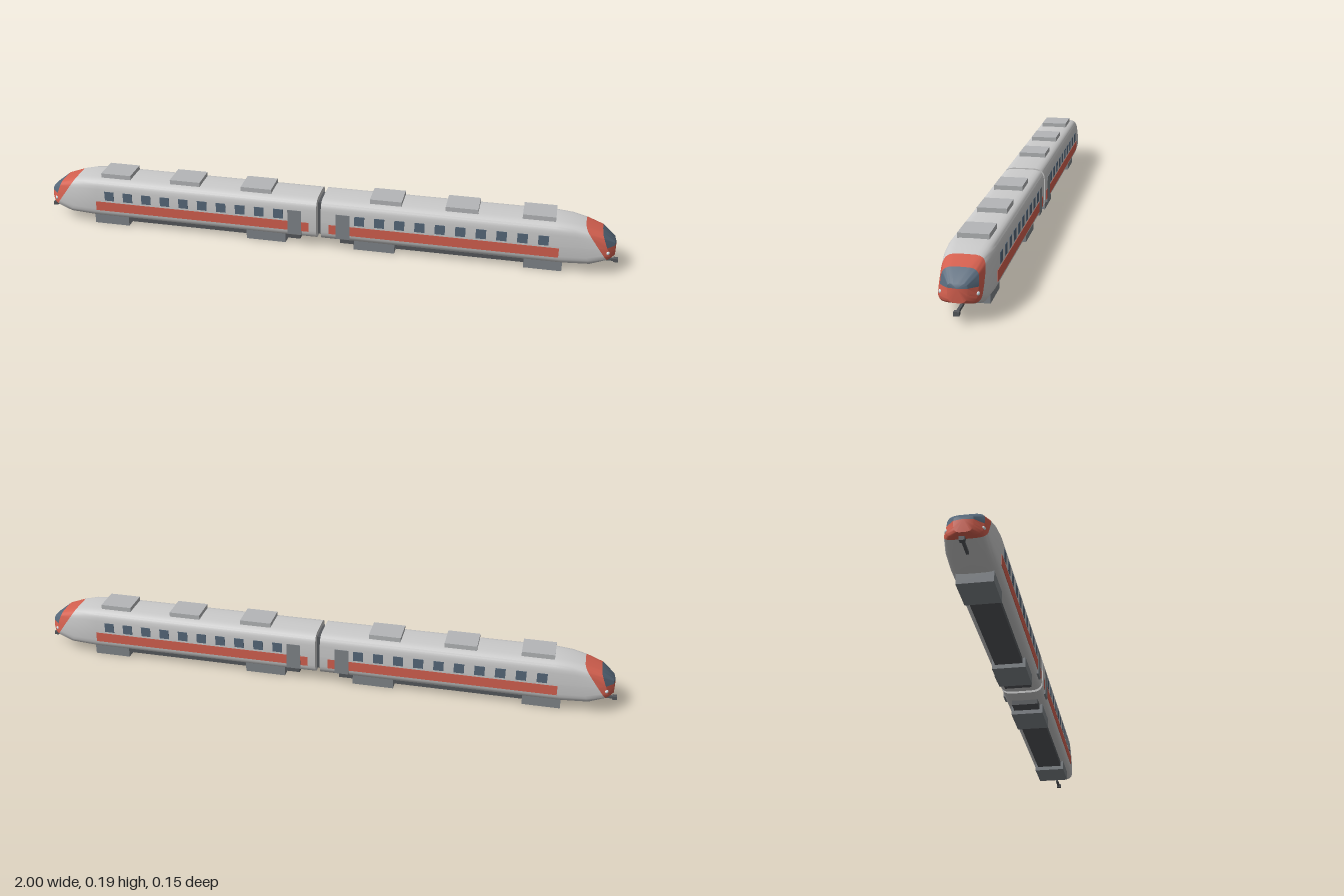
import * as THREE from 'three';
import { toCreasedNormals } from 'three/addons/utils/BufferGeometryUtils.js';

const mat = (color) => new THREE.MeshStandardMaterial({ color });
const shell = mat(0xcccccc);
const red = mat(0xd4604f);
const glass = mat(0x56687a);
const steel = mat(0x80858a);
const dark = mat(0x55585c);
const lamp = mat(0xd5e4ea);

const SEGMENTS = 32;

// Rounded-square cross-section; x runs from xTop at the roof to xBottom at the floor
function ring({ xTop, xBottom = xTop, w, bottom, mid, top, n = 5 }) {
  const points = [];
  for (let j = 0; j <= SEGMENTS; j++) {
    const a = (j / SEGMENTS) * Math.PI * 2;
    const c = Math.cos(a), s = Math.sin(a);
    const z = w * Math.sign(c) * Math.abs(c) ** (2 / n);
    const y = mid + (s > 0 ? top - mid : mid - bottom) * Math.sign(s) * Math.abs(s) ** (2 / n);
    const x = THREE.MathUtils.lerp(xBottom, xTop, (y - bottom) / (top - bottom));
    points.push(new THREE.Vector3(x, y, z));
  }
  return points;
}

// Skin between rings over the part from..to of the section, with optional end caps
function loft(rings, { from = 0, to = SEGMENTS, backCap, frontCap, crease = 0.5 } = {}) {
  const corners = [];
  for (let j = from; j < to; j++) {
    for (let i = 0; i < rings.length - 1; i++) {
      const a = rings[i][j], b = rings[i + 1][j], c = rings[i][j + 1], d = rings[i + 1][j + 1];
      corners.push(a, b, c, b, d, c);
    }
    const first = rings[0], last = rings[rings.length - 1];
    if (backCap) corners.push(backCap, first[j], first[j + 1]);
    if (frontCap) corners.push(frontCap, last[j + 1], last[j]);
  }
  return toCreasedNormals(new THREE.BufferGeometry().setFromPoints(corners), crease);
}

function add(parent, name, geometry, material) {
  const mesh = new THREE.Mesh(geometry, material);
  mesh.name = name;
  parent.add(mesh);
  return mesh;
}

// Box given by its limits on each axis
function box(parent, name, material, x0, x1, y0, y1, z0, z1) {
  const mesh = add(parent, name, new THREE.BoxGeometry(x1 - x0, y1 - y0, z1 - z0), material);
  mesh.position.set((x0 + x1) / 2, (y0 + y1) / 2, (z0 + z1) / 2);
  return mesh;
}

function createCar() {
  const car = new THREE.Group();

  // Body shell and nose
  const full = { w: 0.073, bottom: 0.03, mid: 0.1, top: 0.178 };
  const end = ring({ ...full, xTop: 0.008 });
  const shoulder = ring({ ...full, xTop: 0.79, xBottom: 0.82 });
  const taper = ring({ xTop: 0.84, xBottom: 0.91, w: 0.069, bottom: 0.034, mid: 0.1, top: 0.174 });
  const band = ring({ xTop: 0.885, xBottom: 0.965, w: 0.062, bottom: 0.053, mid: 0.1, top: 0.165, n: 4.5 });
  const screen = ring({ xTop: 0.94, xBottom: 0.975, w: 0.053, bottom: 0.057, mid: 0.101, top: 0.147, n: 4 });
  const tip = ring({ xTop: 0.982, xBottom: 0.987, w: 0.028, bottom: 0.061, mid: 0.102, top: 0.115, n: 3.5 });
  const tipCentre = new THREE.Vector3(0.988, 0.102, 0);
  const half = SEGMENTS / 2;
  add(car, 'bodyShell', loft([end, shoulder, taper, band], { backCap: new THREE.Vector3(0.008, 0.1, 0) }), shell);
  add(car, 'noseBand', loft([band, screen]), red);
  add(car, 'windscreen', loft([screen, tip], { to: half, frontCap: tipCentre }), glass);
  add(car, 'nosePanel', loft([screen, tip], { from: half, frontCap: tipCentre }), red);

  // Side stripe, door, windows and headlights
  for (const side of [-1, 1]) {
    const sideBox = (name, material, x0, x1, y0, y1, out) => {
      const inner = side * 0.066, outer = side * out;
      box(car, name, material, x0, x1, y0, y1, Math.min(inner, outer), Math.max(inner, outer));
    };
    sideBox('stripe', red, 0.035, 0.805, 0.06, 0.094, 0.0737);
    sideBox('door', steel, 0.06, 0.108, 0.045, 0.136, 0.0743);
    for (let i = 0; i < 10; i++) {
      const x = 0.141 + i * 0.068;
      sideBox('window', glass, x - 0.017, x + 0.017, 0.101, 0.135, 0.074);
    }
    const headlight = add(car, 'headlight', new THREE.SphereGeometry(0.007, 16, 10), lamp);
    headlight.position.set(0.961, 0.083, side * 0.05);
  }

  // Roof units
  for (const x of [0.225, 0.48, 0.733]) {
    box(car, 'roofUnit', mat(0xb4b6b8), x - 0.054, x + 0.054, 0.172, 0.192, -0.046, 0.046);
  }

  // Underframe and bogies
  box(car, 'underframe', dark, 0.07, 0.79, 0.014, 0.036, -0.045, 0.045);
  for (const x of [0.19, 0.757]) {
    const reach = x < 0.5 ? 0.07 : 0.063;
    box(car, 'bogie', steel, x - reach, x + reach, 0, 0.034, -0.055, 0.055);
  }

  // Front coupler
  box(car, 'couplerBar', dark, 0.92, 0.988, 0.031, 0.039, -0.004, 0.004);
  box(car, 'couplerHead', dark, 0.985, 1, 0.029, 0.041, -0.008, 0.008);
  return car;
}

export function createModel() {
  const train = new THREE.Group();
  train.name = 'train';

  // Two identical cars, back to back
  for (const [name, turn] of [['leftCar', 0], ['rightCar', Math.PI]]) {
    const car = createCar();
    car.name = name;
    car.rotation.y = turn;
    train.add(car);
  }

  // Gangway joining the cars
  box(train, 'gangway', dark, -0.012, 0.012, 0.04, 0.16, -0.042, 0.042);
  return train;
}
